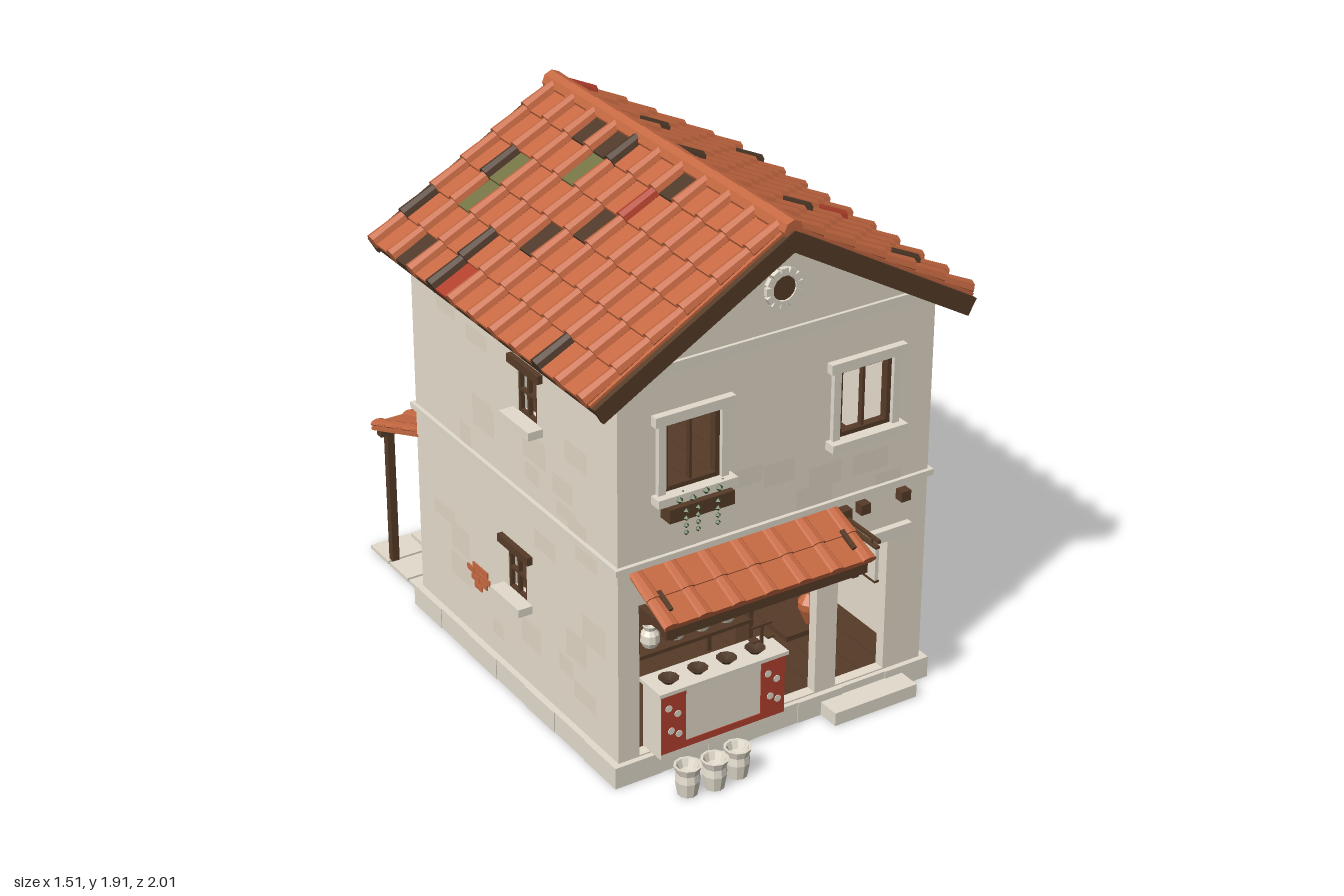
import * as THREE from 'three';

const mat = (name, color) => Object.assign(new THREE.MeshStandardMaterial({ color }), { name });
const M = {
  plaster: mat('plaster', 0xe6dccb), patch: mat('aged plaster', 0xe1d6c5), stone: mat('pale stone', 0xe3dccd),
  clay: mat('terracotta', 0xc66942), burnt: mat('burnt tile', 0x4e3929), red: mat('red paint', 0xb3402d),
  moss: mat('mossy tile', 0x747344), wood: mat('dark wood', 0x573c28), leaf: mat('foliage', 0x4a6036),
  earth: mat('dark earth', 0x4a3328),
};
const T = 0.04, X = 0.61, ZF = 0.78, ZB = -0.55;
let seed = 7;
const rnd = () => (seed = (seed * 16807) % 2147483647) / 2147483647;

function flat(g) {
  const n = g.index ? g.toNonIndexed() : g;
  n.computeVertexNormals();
  return n;
}
function add(parent, name, geo, m, x = 0, y = 0, z = 0) {
  const mesh = new THREE.Mesh(geo, m);
  mesh.name = name;
  mesh.position.set(x, y, z);
  parent.add(mesh);
  return mesh;
}
const box = (p, name, m, w, h, d, x, y, z) => add(p, name, new THREE.BoxGeometry(w, h, d), m, x, y, z);
function group(parent, name, x = 0, y = 0, z = 0, ry = 0, rz = 0) {
  const g = new THREE.Group();
  g.name = name;
  g.position.set(x, y, z);
  g.rotation.set(0, ry, rz, 'YXZ');
  parent.add(g);
  return g;
}
// Vessel turned from [radius, height] pairs
function vessel(p, name, m, profile, x, y, z, s = 1, sides = 10) {
  const pts = profile.map(([r, h]) => new THREE.Vector2(r * s, h * s));
  return add(p, name, flat(new THREE.LatheGeometry(pts, sides)), m, x, y, z);
}
const JUG = [[0, 0], [0.6, 0], [0.85, 0.5], [0.8, 1.2], [0.5, 1.6], [0.65, 2], [0.5, 2], [0.3, 1.6], [0, 1.5]];
const BOWL = [[0, 0], [0.5, 0], [1, 0.5], [0.9, 0.5], [0, 0.2]];
const POT = [[0, 0], [0.75, 0], [0.95, 1.2], [0.85, 1.8], [1.05, 2.4], [0.85, 2.4], [0.6, 1.8], [0, 1.7]];
const AMPHORA = [[0, 0], [0.25, 0.1], [0.9, 1.6], [0.95, 2.2], [0.35, 3], [0.32, 3.7], [0.5, 4], [0, 4]];
const URN = [[0, 0], [0.085, 0], [0.097, 0.03], [0.09, 0.11], [0.048, 0.2], [0.058, 0.29], [0.05, 0.29], [0.035, 0.2], [0, 0.19]];

// Sloping tiled surface: runs down local +x, width along local z; odd maps 'c|p row,course' to a material
function tiles(g, { len, width, courses, covers, spacing, rise, deck, under }, odd = {}) {
  box(g, 'roofDeck', under, len, deck, width, len / 2, -deck / 2, 0);
  const L = len / courses, edge = (width - (covers - 1) * spacing) / 2 - 0.005;
  const cover = flat(new THREE.CylinderGeometry(0.024, 0.029, L * 1.06, 8).rotateZ(Math.PI / 2).scale(1, rise, 1));
  const pan = new THREE.BoxGeometry(L * 1.04, 0.014, spacing * 0.93);
  for (let r = 0; r < covers; r++) for (let i = 0; i < courses; i++) {
    const v = (r - (covers - 1) / 2) * spacing, u = (i + 0.5) * L;
    add(g, 'coverTile', cover, odd[`c${r},${i}`] || M.clay, u, 0.014 * rise, v).rotation.z = 0.05 * rise;
    if (r < covers - 1) add(g, 'panTile', pan, odd[`p${r},${i}`] || M.clay, u, 0.007 * rise, v + spacing / 2).rotation.z = 0.08 * rise;
  }
  for (const s of [-1, 1]) box(g, 'vergeTile', M.clay, len, 0.012, edge, len / 2, 0.006, s * (width - edge - 0.01) / 2);
}
const oddTiles = (burnt, red, moss = '') => {
  const o = {};
  [[burnt, M.burnt], [red, M.red], [moss, M.moss]].forEach(([s, m]) => s.split(' ').forEach(k => { o[k] = m; }));
  return o;
};

// Wall facing local +z with rectangular openings [x0, x1, y0, y1], plus faint plaster patches
function wall(g, pts, holes, x0, x1) {
  const s = new THREE.Shape(pts.map(p => new THREE.Vector2(...p)));
  holes.forEach(([a, b, c, d]) => s.holes.push(new THREE.Path(
    [[a, c], [a, d], [b, d], [b, c]].map(p => new THREE.Vector2(...p)))));
  add(g, 'wall', new THREE.ExtrudeGeometry(s, { depth: T, bevelEnabled: false }), M.plaster, 0, 0, -T);
  for (let i = 0; i < 24; i++) {
    const w = 0.07 + rnd() * 0.08, h = 0.05 + rnd() * 0.06;
    const x = x0 + 0.1 + rnd() * (x1 - x0 - 0.2), y = 0.16 + rnd() * 1.2;
    if (holes.every(([a, b, c, d]) => x + w / 2 < a || x - w / 2 > b || y + h / 2 < c || y - h / 2 > d))
      add(g, 'plasterPatch', new THREE.PlaneGeometry(w, h), M.patch, x, y, 0.001);
  }
}
function stoneWindow(g, [a, b, c, d]) {
  const w = b - a, h = d - c, x = (a + b) / 2, y = (c + d) / 2;
  const k = group(g, 'window', x, y, 0);
  for (const s of [-1, 1]) {
    box(k, 'jamb', M.stone, 0.028, h, 0.02, s * (w / 2 + 0.014), 0, 0.008);
    box(k, 'frameSide', M.wood, 0.016, h, 0.03, s * (w / 2 - 0.008), 0, -0.012);
    box(k, 'frameRail', M.wood, w, 0.016, 0.03, 0, s * (h / 2 - 0.008), -0.012);
  }
  box(k, 'mullion', M.wood, 0.01, h, 0.02, 0, 0, -0.014);
  box(k, 'lintel', M.stone, w + 0.09, 0.036, 0.03, 0, h / 2 + 0.018, 0.012);
  box(k, 'sill', M.stone, w + 0.09, 0.03, 0.05, 0, -h / 2 - 0.015, 0.02);
}
function smallWindow(g, [a, b, c, d]) {
  const k = group(g, 'smallWindow', (a + b) / 2, (c + d) / 2, 0), w = b - a, h = d - c;
  box(k, 'woodLintel', M.wood, w + 0.08, 0.03, 0.04, 0, h / 2 + 0.014, 0);
  box(k, 'sill', M.stone, w + 0.07, 0.03, 0.08, 0, -h / 2 - 0.014, 0.015);
  for (const s of [-1, 0, 1]) {
    box(k, 'grilleBar', M.wood, 0.012, h, 0.015, s * (w / 2 - 0.006), 0, -0.01);
    box(k, 'grilleRail', M.wood, w, 0.01, 0.015, 0, s * (h / 2 - 0.005), -0.01);
  }
}
function flowerBox(g, x, y) {
  const k = group(g, 'flowerBox', x, y, 0.04);
  box(k, 'planter', M.wood, 0.245, 0.05, 0.055, 0, 0, 0);
  const leaf = flat(new THREE.OctahedronGeometry(0.014));
  for (let i = 0; i < 9; i++) add(k, 'leaf', leaf, M.leaf, -0.1 + i * 0.025, 0.034 + (i % 3) * 0.006, (i % 2) * 0.02 - 0.01);
  for (const vx of [-0.065, -0.02, 0.055]) for (let j = 0; j < 4; j++)
    add(k, 'trailingLeaf', leaf, M.leaf, vx, 0.01 - j * 0.026, 0.034).scale.setScalar(0.75);
}

export function createModel() {
  const root = new THREE.Group();
  root.name = 'tiledShopHouse';

  // Raised ground slab inside a ring of plinth blocks, and plank floors
  box(root, 'groundSlab', M.earth, 1.22, 0.015, 1.32, 0, 0.06, 0.115);
  for (let i = 0; i < 7; i++) {
    const w = 1.27 / 7, d = 1.37 / 7, o = (i % 2) * 0.003;
    for (const s of [-1, 1]) {
      box(root, 'plinthBlock', M.stone, w, 0.08, 0.03, -0.635 + w * (i + 0.5), 0.04, 0.115 + s * (0.67 - o));
      box(root, 'plinthBlock', M.stone, 0.03, 0.08, d, s * (0.62 - o), 0.04, -0.57 + d * (i + 0.5));
    }
  }
  for (let i = 0; i < 12; i++) for (const y of [0.075, 0.8])
    box(root, 'floorPlank', M.wood, 0.092, 0.02, 1.25, -0.525 + i * 0.0955, y, 0.115);

  // Walls
  const gable = [[-X, 0.07], [X, 0.07], [X, 1.488], [0, 1.845], [-X, 1.488]];
  const side = (a, b) => [[a, 0.07], [b, 0.07], [b, 1.488], [a, 1.488]];
  const front = group(root, 'frontWall', 0, 0, ZF);
  const back = group(root, 'backWall', 0, 0, ZB, Math.PI);
  const left = group(root, 'leftWall', X, 0, 0, Math.PI / 2);
  const right = group(root, 'rightWall', -X, 0, 0, -Math.PI / 2);
  const fw = [[-0.44, -0.23, 1.05, 1.3], [0.23, 0.44, 1.05, 1.3]];
  const lw = [[-0.05, 0.13, 1.07, 1.295], [-0.35, -0.165, 0.365, 0.585]];
  const rw = [[0.17, 0.29, 1.115, 1.285], [0.08, 0.2, 0.4, 0.565]];
  const bw = [[0.08, 0.2, 1.115, 1.285], [-0.18, -0.06, 0.4, 0.565]];
  wall(front, gable, [...fw, [-0.53, 0.17, 0.085, 0.62], [0.255, 0.455, 0.085, 0.605]], -X, X);
  wall(back, gable, bw, -X, X);
  wall(left, side(-ZF + T, -ZB - T), lw, -ZF, -ZB);
  wall(right, side(ZB + T, ZF - T), rw, ZB, ZF);
  fw.forEach(w => stoneWindow(front, w));
  lw.forEach(w => stoneWindow(left, w));
  rw.forEach(w => smallWindow(right, w));
  bw.forEach(w => smallWindow(back, w));
  flowerBox(front, -0.335, 0.995);
  flowerBox(left, 0.04, 1.02);

  // String courses and gable bands
  for (const z of [ZF, ZB]) {
    box(root, 'stringCourse', M.stone, 1.25, 0.022, 0.03, 0, 0.812, z);
    box(root, 'gableBand', M.stone, 1.24, 0.035, 0.024, 0, 1.488, z);
  }
  for (const x of [-X, X]) box(root, 'stringCourse', M.stone, 0.03, 0.022, 1.33, x, 0.812, 0.115);

  // Gable rosette
  const disc = (r, d) => flat(new THREE.CylinderGeometry(r, r, d, 12).rotateX(Math.PI / 2));
  add(front, 'roundVent', disc(0.042, 0.016), M.wood, 0, 1.655, 0.006);
  for (let i = 0; i < 12; i++) {
    const a = i * Math.PI / 6;
    box(front, 'rosettePetal', M.stone, 0.026, 0.027, 0.02, 0.056 * Math.cos(a), 1.655 + 0.056 * Math.sin(a), 0.007).rotation.z = a;
  }

  // Exposed bricks
  [[0, 0], [0.055, 0], [-0.03, 0.025], [0.025, 0.025], [0.075, 0.025], [0.01, 0.05], [0.06, 0.05], [0.02, -0.025]].forEach(
    ([u, v]) => box(right, 'exposedBrick', M.clay, 0.05, 0.022, 0.006, -0.15 + u, 0.315 + v, 0.002));

  // Main roof
  const A = Math.PI / 6, len = 0.84, zc = 0.108;
  const odd = {
    '1': oddTiles('c1,5 c2,1 c5,0 c7,2 c9,4 p3,5 p9,0', 'c0,0 c6,4 p8,5'),
    '-1': oddTiles('c10,4 c9,2 c7,5 c7,4 c6,0 c2,5 p8,5 p7,0 p6,0 p5,3 p4,2 p3,0', 'c4,1 p6,5', 'p8,2 p8,3 p6,1'),
  };
  for (const s of [1, -1]) {
    const g = group(root, 'roofSlope', 0, 1.868, zc, s > 0 ? 0 : Math.PI, -A);
    tiles(g, { len, width: 1.44, courses: 6, covers: 11, spacing: 0.1355, rise: 1, deck: 0.03, under: M.wood }, odd[s]);
    for (const e of [-1, 1]) box(g, 'bargeboard', M.wood, len, 0.064, 0.02, len / 2, -0.029, e * 0.727);
    box(g, 'eaveFascia', M.wood, 0.02, 0.035, 1.44, len - 0.012, -0.02, 0);
    for (let i = 0; i < 9; i++) box(g, 'rafterTail', M.wood, 0.16, 0.035, 0.025, len - 0.09, -0.046, (i - 4) * 0.155);
  }
  for (let i = 0; i < 10; i++)
    add(root, 'ridgeTile', flat(new THREE.CylinderGeometry(0.036, 0.039, 0.15, 8).rotateX(Math.PI / 2)), M.clay, 0, 1.87, zc + (i - 4.5) * 0.1455);

  // Front awning, beam and brackets
  const awning = group(root, 'awning', -0.165, 0.785, 0.78, -Math.PI / 2, -0.4);
  tiles(awning, { len: 0.232, width: 0.8, courses: 2, covers: 7, spacing: 0.127, rise: 0.5, deck: 0.012, under: M.clay });
  for (const v of [-0.355, 0.355]) box(awning, 'awningBatten', M.wood, 0.08, 0.02, 0.016, 0.14, 0.012, v);
  box(root, 'awningBeam', M.wood, 0.78, 0.035, 0.03, -0.165, 0.66, 0.965);
  for (const x of [-0.52, 0.185]) {
    box(root, 'awningBracket', M.wood, 0.025, 0.03, 0.2, x, 0.645, 0.87);
    box(root, 'awningStrut', M.wood, 0.022, 0.022, 0.17, x, 0.635, 0.845).rotation.x = -0.5;
  }
  box(front, 'shopLintel', M.wood, 0.7, 0.02, 0.03, -0.18, 0.63, 0);
  for (const x of [0.26, 0.335, 0.5]) box(front, 'beamEnd', M.wood, 0.038, 0.038, 0.05, x, 0.765, 0.01);
  box(front, 'doorLintel', M.stone, 0.33, 0.044, 0.03, 0.37, 0.628, 0.01);
  box(root, 'doorstep', M.stone, 0.34, 0.05, 0.09, 0.355, 0.027, 0.84);

  // Hanging sign board
  box(root, 'signArm', M.wood, 0.012, 0.012, 0.21, 0.262, 0.75, 0.885);
  box(root, 'signBoard', M.stone, 0.014, 0.125, 0.19, 0.262, 0.66, 0.885);
  for (const y of [0.596, 0.724]) box(root, 'signTrim', M.wood, 0.018, 0.008, 0.194, 0.262, y, 0.885);
  for (const z of [0.82, 0.95]) box(root, 'signHanger', M.wood, 0.006, 0.03, 0.006, 0.262, 0.738, z);

  // Shop counter with painted panels
  const counter = group(root, 'counter', -0.245, 0, 0.79);
  box(counter, 'counterBody', M.plaster, 0.485, 0.25, 0.11, 0, 0.21, 0);
  box(counter, 'counterTop', M.stone, 0.505, 0.014, 0.13, 0, 0.34, 0);
  box(counter, 'redBase', M.red, 0.485, 0.025, 0.004, 0, 0.12, 0.056);
  for (const s of [-1, 1]) {
    box(counter, 'redPanel', M.red, 0.095, 0.21, 0.004, s * 0.195, 0.228, 0.056);
    [[-0.02, 0.28], [0.015, 0.25], [-0.01, 0.19], [0.02, 0.17]].forEach(([x, y]) =>
      add(counter, 'paintedFlower', disc(0.013, 0.003), M.stone, s * 0.195 + x, y, 0.059));
  }
  for (let i = 0; i < 4; i++) vessel(root, 'bowl', M.burnt, BOWL, -0.43 + i * 0.113, 0.347, 0.8, 0.036);
  // Balance scale on the counter
  box(counter, 'scalePost', M.wood, 0.01, 0.08, 0.01, 0.2, 0.385, -0.02);
  box(counter, 'scaleBeam', M.wood, 0.08, 0.008, 0.008, 0.2, 0.42, -0.02);
  for (const x of [0.17, 0.23]) box(counter, 'scalePan', M.wood, 0.028, 0.006, 0.028, x, 0.37, -0.02);

  // Shelves and jugs
  for (const x of [-0.475, -0.025]) box(root, 'shelfPost', M.wood, 0.016, 0.46, 0.08, x, 0.31, 0.64);
  for (const [y, s] of [[0.385, 0.04], [0.52, 0.038]]) {
    box(root, 'shelf', M.wood, 0.46, 0.014, 0.09, -0.25, y, 0.64);
    for (let i = 0; i < 4; i++) vessel(root, 'shelfJug', M.stone, JUG, -0.4 + i * 0.1, y + 0.007, 0.64, s);
  }
  for (const x of [-0.23, 0.07]) for (let i = 0; i < 5; i++)
    add(root, 'driedPepper', flat(new THREE.ConeGeometry(0.012, 0.03, 5)), M.red, x + (i % 2) * 0.01, 0.605 - i * 0.018, 0.71);

  // Interior table and amphora rack
  box(root, 'tableTop', M.wood, 0.17, 0.014, 0.16, 0.085, 0.265, 0.3);
  for (const x of [0.015, 0.155]) for (const z of [0.235, 0.365]) box(root, 'tableLeg', M.wood, 0.014, 0.18, 0.014, x, 0.17, z);
  vessel(root, 'tableBowl', M.clay, BOWL, 0.03, 0.272, 0.3, 0.036);
  box(root, 'amphoraRack', M.wood, 0.22, 0.02, 0.14, 0.38, 0.095, 0.4);
  for (const [x, z] of [[0.39, 0.43], [0.45, 0.37]]) vessel(root, 'amphora', M.clay, AMPHORA, x, 0.1, z, 0.043);

  // Pots by the counter and behind the house
  for (const [x, z] of [[-0.445, 0.94], [-0.35, 0.955], [-0.25, 0.94]]) vessel(root, 'pot', M.stone, POT, x, 0, z, 0.046);
  vessel(root, 'largeUrn', M.stone, URN, 0.02, 0.014, -0.715, 1, 12);
  for (const x of [0.48, 0.38, 0.28]) vessel(root, 'backPot', M.stone, JUG, x, 0.014, -0.72, 0.055);

  // Rear paving
  for (let i = 0; i < 8; i++) for (let j = 0; j < 3; j++)
    box(root, 'pavingSlab', M.stone, 0.157, 0.014, 0.136, -0.508 + i * 0.1685, 0.008, -0.932 + j * 0.147);
  // Rear lean-to roof
  const lean = group(root, 'rearLeanTo', 0, 0.7, -0.545, Math.PI / 2, -0.36);
  tiles(lean, { len: 0.385, width: 1.22, courses: 3, covers: 10, spacing: 0.129, rise: 0.5, deck: 0.012, under: M.clay });
  box(root, 'leanToBeam', M.wood, 1.2, 0.03, 0.03, 0, 0.556, -0.865);
  for (const x of [-0.56, 0.56]) box(root, 'leanToPost', M.wood, 0.028, 0.54, 0.028, x, 0.28, -0.865);
  return root;
}
